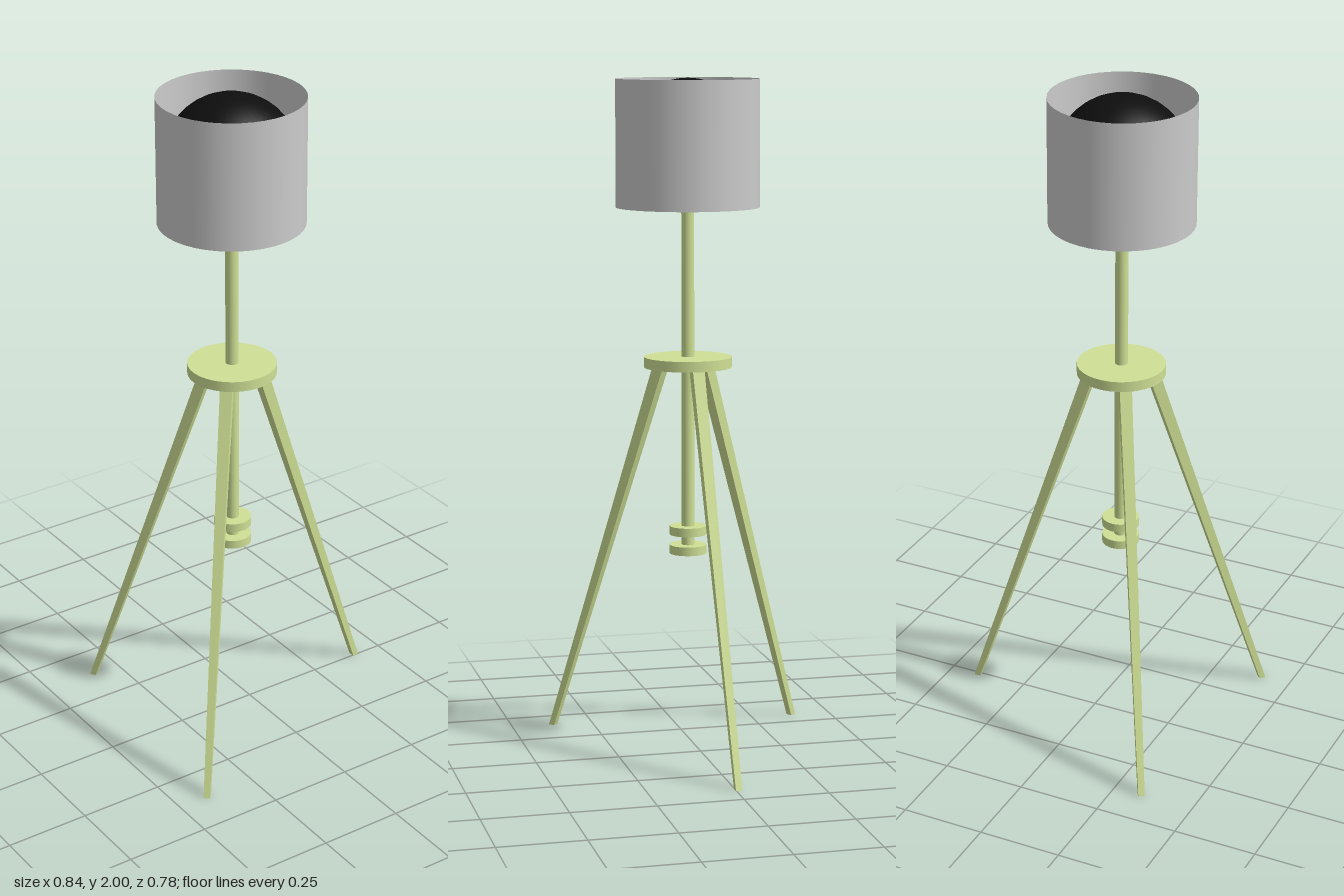
import * as THREE from 'three';

const AXIS_X = -0.075, AXIS_Z = 0.02;

const green = new THREE.MeshStandardMaterial({ color: 0xcfe095 });
const greenFlat = new THREE.MeshStandardMaterial({ color: 0xcfe095, flatShading: true });
const black = new THREE.MeshStandardMaterial({ color: 0x0e0e0e });
const grey = new THREE.MeshStandardMaterial({ color: 0xcccccc, side: THREE.DoubleSide });

function add(parent, name, geometry, material, y = 0) {
  const mesh = new THREE.Mesh(geometry, material);
  mesh.name = name;
  mesh.position.y = y;
  parent.add(mesh);
  return mesh;
}

// Upright cylinder between two heights
function disc(parent, name, radius, y0, y1) {
  return add(parent, name, new THREE.CylinderGeometry(radius, radius, y1 - y0, 32), green, (y0 + y1) / 2);
}

// Tapered square leg leaning outward along +x, cut level at both ends
function legGeometry(topRadius, footRadius, height) {
  const topWidth = 0.036, footWidth = 0.019;
  const g = new THREE.BoxGeometry(1, 1, 1);
  const p = g.attributes.position;
  for (let i = 0; i < p.count; i++) {
    const top = p.getY(i) > 0;
    const w = top ? topWidth : footWidth;
    p.setXYZ(i, p.getX(i) * w + (top ? topRadius : footRadius), top ? height : 0, p.getZ(i) * w);
  }
  g.computeVertexNormals();
  return g;
}

export function createModel() {
  const lamp = new THREE.Group();
  lamp.name = 'tripodLamp';
  lamp.position.set(AXIS_X, 0, AXIS_Z);

  // Central pole, tripod plate and the two lower collars
  disc(lamp, 'pole', 0.019, 0.595, 1.625);
  disc(lamp, 'tripodPlate', 0.13, 1.153, 1.184);
  disc(lamp, 'upperCollar', 0.055, 0.65, 0.676);
  disc(lamp, 'lowerCollar', 0.055, 0.593, 0.619);

  // Legs: direction in degrees from +x towards +z, top and foot distance from the pole
  const legs = [
    ['leftLeg', -3.2, 0.09, 0.484],
    ['frontLeg', 133.2, 0.09, 0.482],
    ['backLeg', 236.8, 0.075, 0.476],
  ];
  for (const [name, degrees, top, foot] of legs) {
    const leg = add(lamp, name, legGeometry(top, foot, 1.157), greenFlat);
    leg.rotation.y = -THREE.MathUtils.degToRad(degrees);
  }

  // Round bulb inside an open drum shade
  add(lamp, 'bulb', new THREE.SphereGeometry(0.195, 32, 20), black, 1.805);
  add(lamp, 'shade', new THREE.CylinderGeometry(0.211, 0.211, 0.373, 40, 1, true), grey, 1.811);

  const model = new THREE.Group();
  model.name = 'model';
  model.add(lamp);
  return model;
}
